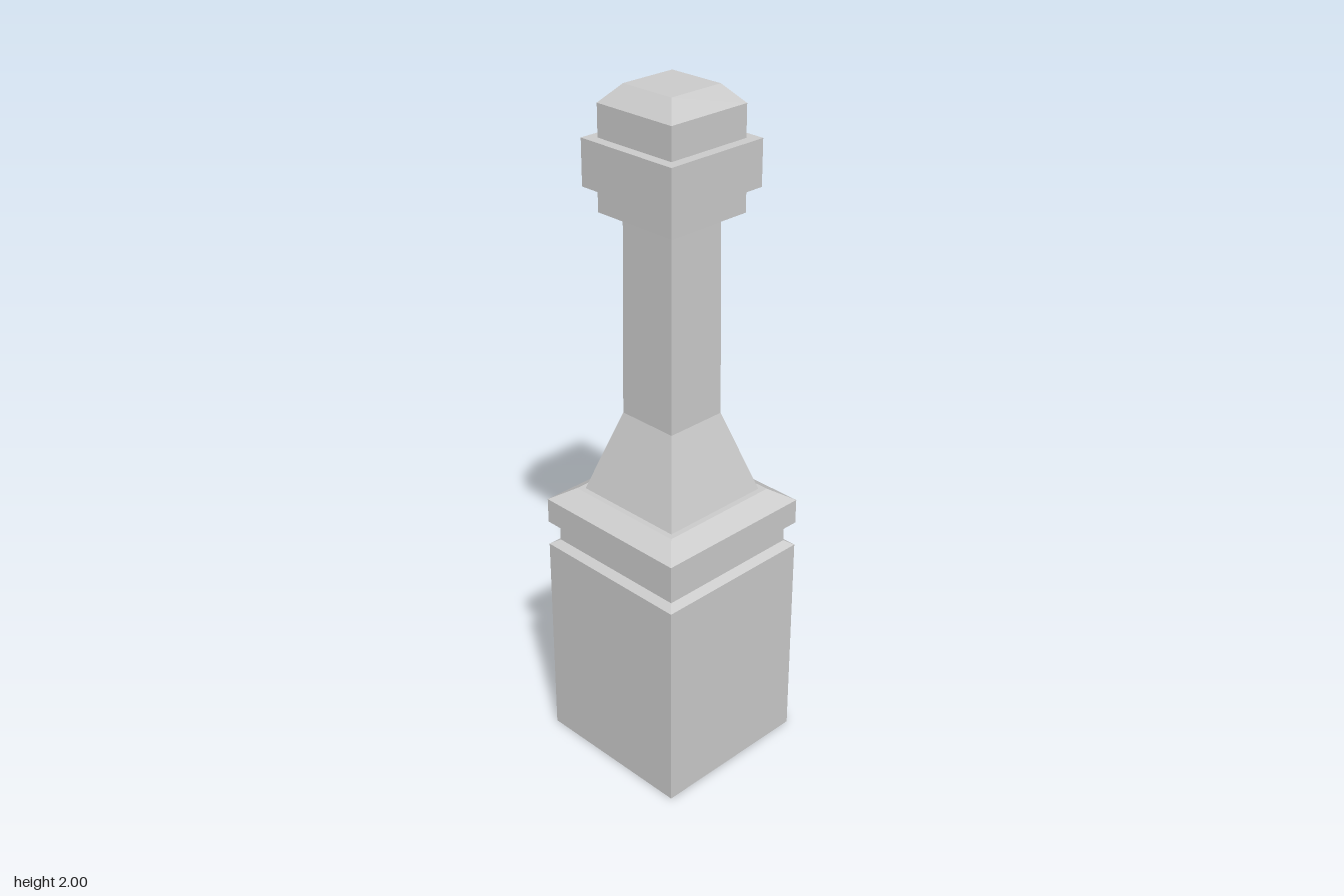
import * as THREE from 'three';

const stone = new THREE.MeshStandardMaterial({ color: 0xcccccc });
stone.name = 'pale grey stone';

const HALF = 0.25, BODY_TOP = 0.645, RECESS = 0.04;
const ARCH_R = 0.125, ARCH_SPRING = 0.45;

function addPart(group, name, geometry) {
  const flat = geometry.index ? geometry.toNonIndexed() : geometry;
  flat.computeVertexNormals();
  const mesh = new THREE.Mesh(flat, stone);
  mesh.name = name;
  group.add(mesh);
  return mesh;
}

// Square moulding swept from [half width, height] pairs, listed bottom to top
function squareProfile(pairs) {
  const points = pairs.map(([half, y]) => new THREE.Vector2(half * Math.SQRT2, y));
  return new THREE.LatheGeometry(points, 4, Math.PI / 4);
}

// Wall slab with a round-headed doorway cut up from the ground
function archedWall(left, right) {
  const shape = new THREE.Shape();
  shape.moveTo(left, 0);
  shape.lineTo(-ARCH_R, 0);
  for (let i = 0; i <= 6; i++) {
    const a = Math.PI * (1 - i / 6);
    shape.lineTo(Math.cos(a) * ARCH_R, ARCH_SPRING + Math.sin(a) * ARCH_R);
  }
  shape.lineTo(ARCH_R, 0);
  shape.lineTo(right, 0);
  shape.lineTo(right, BODY_TOP);
  shape.lineTo(left, BODY_TOP);
  return new THREE.ExtrudeGeometry(shape, { depth: RECESS, bevelEnabled: false });
}

export function createModel() {
  const model = new THREE.Group();
  model.name = 'chimneyTower';

  // Base block, set back on the two sides that carry niches
  const core = 2 * HALF - RECESS;
  const block = new THREE.BoxGeometry(core, BODY_TOP, core);
  block.translate(-RECESS / 2, BODY_TOP / 2, RECESS / 2);
  addPart(model, 'baseBlock', block);

  // Niche walls on the +x side and the back
  const side = archedWall(-HALF, HALF);
  side.rotateY(Math.PI / 2).translate(HALF - RECESS, 0, 0);
  addPart(model, 'sideNicheWall', side);

  const back = archedWall(RECESS - HALF, HALF);
  back.rotateY(Math.PI).translate(0, 0, RECESS - HALF);
  addPart(model, 'backNicheWall', back);

  // Recessed neck and overhanging cornice
  addPart(model, 'cornice', squareProfile([
    [0.25, 0.645], [0.227, 0.66], [0.227, 0.705], [0.25, 0.72],
    [0.25, 0.795], [0.19, 0.832], [0, 0.832],
  ]));

  // Flared foot and slender shaft
  addPart(model, 'flaredFoot', squareProfile([[0.173, 0.832], [0.095, 1.075]]));
  addPart(model, 'shaft', squareProfile([[0.095, 1.075], [0.09, 1.66]]));

  // Stepped cap with chamfered top
  addPart(model, 'cap', squareProfile([
    [0, 1.66], [0.135, 1.66], [0.135, 1.73], [0.163, 1.73], [0.163, 1.86],
    [0.133, 1.86], [0.133, 1.95], [0.086, 2], [0, 2],
  ]));

  return model;
}
